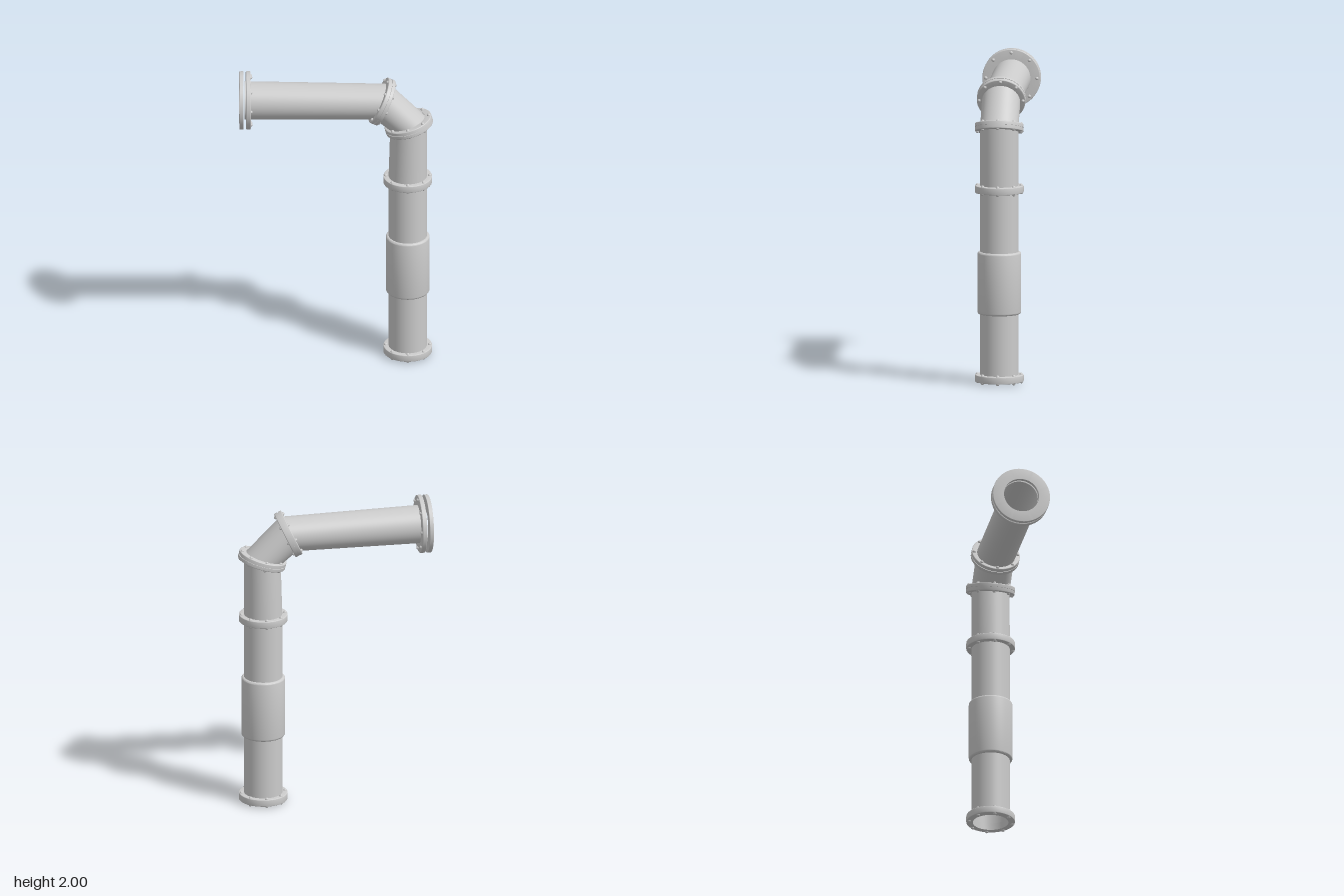
import * as THREE from 'three';
import { toCreasedNormals } from 'three/addons/utils/BufferGeometryUtils.js';
import { ParametricGeometry } from 'three/addons/geometries/ParametricGeometry.js';

const PIPE_R = 0.122;
const BORE_R = 0.113;
const rad = THREE.MathUtils.degToRad;

const material = new THREE.MeshStandardMaterial({ color: 0xcccccc });
const pipeMaterial = new THREE.MeshStandardMaterial({ color: 0xcccccc, side: THREE.DoubleSide });

function addMesh(parent, name, geometry, mat = material) {
  const mesh = new THREE.Mesh(geometry, mat);
  mesh.name = name;
  parent.add(mesh);
  return mesh;
}

// Hollow ring about y with rounded outer edges and an optional seam groove
function ringGeometry(outer, inner, height, round, grooved = false) {
  const h = height / 2;
  const points = [[inner, -h]];
  const corner = (y, start) => {
    for (let i = 0; i <= 4; i++) {
      const a = start + (i / 4) * (Math.PI / 2);
      points.push([outer - round + round * Math.cos(a), y + round * Math.sin(a)]);
    }
  };
  corner(-h + round, -Math.PI / 2);
  if (grooved) points.push([outer, -0.002], [outer - 0.005, -0.002], [outer - 0.005, 0.002], [outer, 0.002]);
  corner(h - round, 0);
  points.push([inner, h], [inner, -h]);
  const profile = points.map(([x, y]) => new THREE.Vector2(x, y));
  return toCreasedNormals(new THREE.LatheGeometry(profile, 64), 0.5);
}

// Pipe skin stretched between two tilted circles of equal radius
function pipeGeometry(from, to) {
  const point = (joint, a, target) => target.set(
    joint.x + PIPE_R * Math.cos(a) * Math.cos(joint.tilt),
    joint.y + PIPE_R * Math.cos(a) * Math.sin(joint.tilt),
    -PIPE_R * Math.sin(a)
  );
  const end = new THREE.Vector3();
  return new ParametricGeometry((u, v, target) => {
    const a = u * Math.PI * 2;
    point(from, a, target);
    target.lerp(point(to, a, end), v);
  }, 64, 4);
}

// Flange ring with eight round-headed bolts on the chosen faces
function createFlange(name, joint, { outer = 0.155, height = 0.046, grooved = false, faces = [1, -1], boltCircle = 0.14 }) {
  const flange = new THREE.Group();
  flange.name = name;
  addMesh(flange, 'flangeRing', ringGeometry(outer, BORE_R, height, 0.005, grooved));
  const head = new THREE.SphereGeometry(0.011, 12, 6, 0, Math.PI * 2, 0, Math.PI / 2);
  for (const face of faces) {
    for (let i = 0; i < 8; i++) {
      const a = (i / 8) * Math.PI * 2;
      const bolt = addMesh(flange, 'bolt', head);
      bolt.position.set(boltCircle * Math.cos(a), face * height / 2, boltCircle * Math.sin(a));
      if (face < 0) bolt.rotation.x = Math.PI;
    }
  }
  flange.position.set(joint.x, joint.y, 0);
  flange.rotation.z = joint.tilt;
  return flange;
}

export function createModel() {
  const model = new THREE.Group();
  model.name = 'pipeline';

  // Pipe joints from the open foot to the far end
  const foot = { x: 0.45, y: 0.034, tilt: 0 };
  const middle = { x: 0.45, y: 1.247, tilt: 0 };
  const lowerBend = { x: 0.456, y: 1.64, tilt: rad(16) };
  const upperBend = { x: 0.288, y: 1.802, tilt: rad(65) };
  const farEnd = { x: -0.587, y: 1.815, tilt: rad(90) };

  // Pipe runs
  addMesh(model, 'lowerPipe', pipeGeometry(foot, middle), pipeMaterial);
  addMesh(model, 'upperPipe', pipeGeometry(middle, lowerBend), pipeMaterial);
  addMesh(model, 'elbowPipe', pipeGeometry(lowerBend, upperBend), pipeMaterial);
  addMesh(model, 'horizontalPipe', pipeGeometry(upperBend, farEnd), pipeMaterial);

  // Thick sleeve around the lower pipe
  const sleeve = addMesh(model, 'sleeve', ringGeometry(0.139, 0.118, 0.4, 0.014));
  sleeve.position.set(0.45, 0.645, 0);

  // Bolted flanges at the joints
  model.add(createFlange('footFlange', foot, {}));
  model.add(createFlange('middleFlange', middle, {}));
  model.add(createFlange('lowerBendFlange', lowerBend, { height: 0.05, grooved: true }));
  model.add(createFlange('upperBendFlange', upperBend, { height: 0.05, grooved: true }));

  // Large end flange, and the separate cover ring beyond it
  const endJoint = { x: -0.563, y: 1.815, tilt: rad(90) };
  model.add(createFlange('endFlange', endJoint, { outer: 0.185, height: 0.03, faces: [-1], boltCircle: 0.163 }));
  const cover = addMesh(model, 'endCoverRing', ringGeometry(0.185, BORE_R, 0.026, 0.003));
  cover.position.set(-0.607, 1.815, 0);
  cover.rotation.z = rad(90);

  return model;
}
